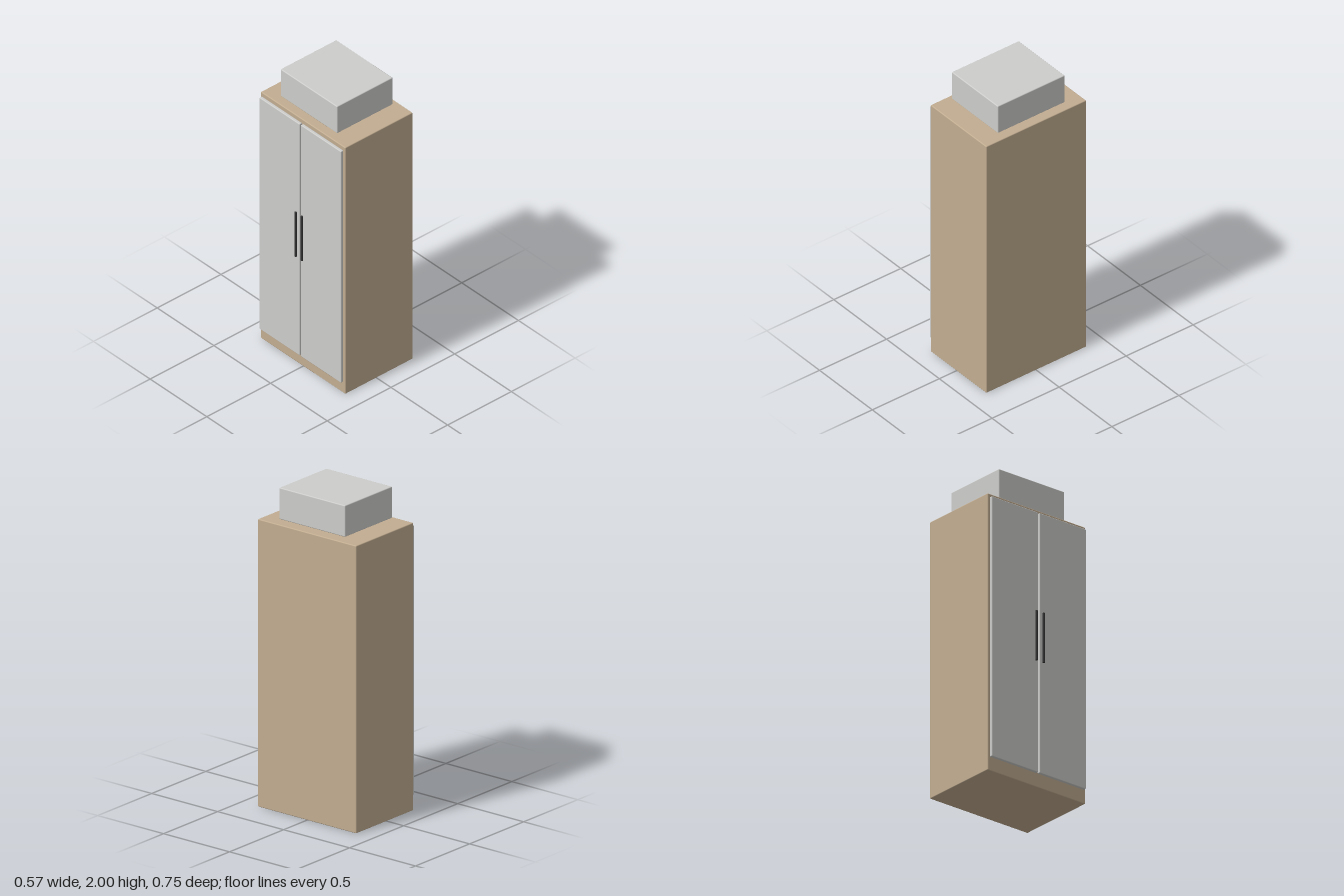
import * as THREE from 'three';
import { RoundedBoxGeometry } from 'three/addons/geometries/RoundedBoxGeometry.js';

function material(name, color) {
  const m = new THREE.MeshStandardMaterial({ color });
  m.name = name;
  return m;
}

export function createModel() {
  const group = new THREE.Group();
  const wood = material('tan wood', 0xc2ad91);
  const grey = material('light grey', 0xcdcdcb);
  const dark = material('dark metal', 0x333333);

  // Softly edged box given by its minimum and maximum corners
  function block(name, mat, min, max, radius) {
    const [w, h, d] = max.map((v, i) => v - min[i]);
    const mesh = new THREE.Mesh(new RoundedBoxGeometry(w, h, d, 3, radius), mat);
    mesh.position.set(min[0] + w / 2, min[1] + h / 2, min[2] + d / 2);
    mesh.name = name;
    group.add(mesh);
  }

  // Cabinet body and the box hovering just above its top
  block('cabinetBody', wood, [-0.245, 0, -0.373], [0.284, 1.79, 0.373], 0.006);
  block('topBox', grey, [-0.2, 1.804, -0.25], [0.237, 2, 0.25], 0.006);

  // Pair of doors with upright bar handles on the -x side
  for (const side of [-1, 1]) {
    const label = side > 0 ? 'front' : 'back';
    const z = [0.005 * side, 0.36 * side].sort((a, b) => a - b);
    block(label + 'Door', grey, [-0.268, 0.085, z[0]], [-0.247, 1.766, z[1]], 0.005);

    const handle = new THREE.Mesh(new THREE.CylinderGeometry(0.007, 0.007, 0.32, 20), dark);
    handle.position.set(-0.279, 0.96, 0.0275 * side);
    handle.name = label + 'Handle';
    group.add(handle);
  }
  return group;
}
